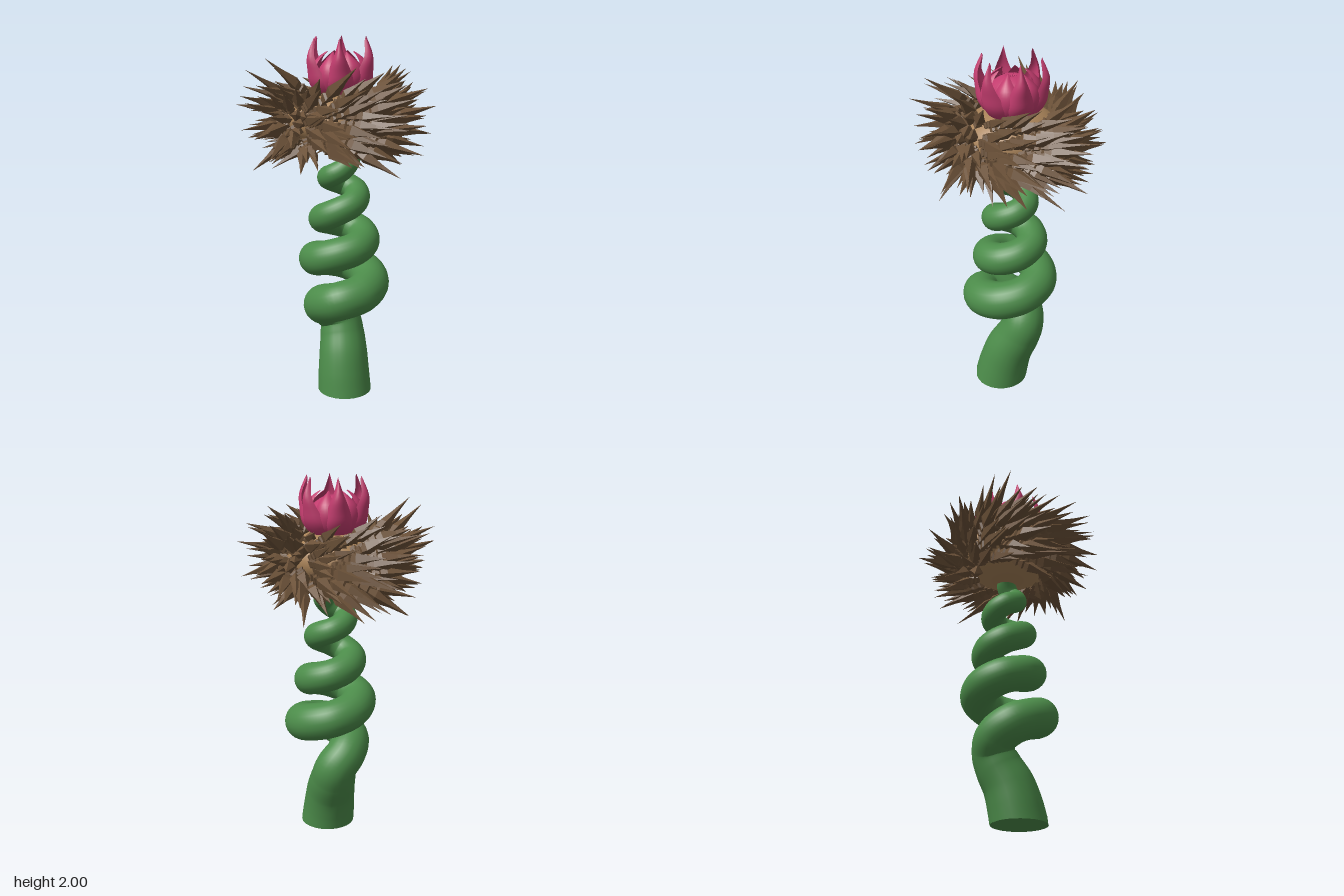
import * as THREE from 'three';
import { mergeGeometries } from 'three/addons/utils/BufferGeometryUtils.js';

const material = (color, extra = {}) => new THREE.MeshStandardMaterial({ color, ...extra });

function addMesh(parent, name, geometry, mat) {
  const mesh = new THREE.Mesh(geometry, mat);
  mesh.name = name;
  parent.add(mesh);
  return mesh;
}

function seeded(seed) {
  return () => {
    seed = (seed * 16807) % 2147483647;
    return seed / 2147483647;
  };
}

// Foot of the stem leaning back, and its end inside the head: x, y, z, tube radius
const FOOT = [
  [0.05, 0, 0.05, 0.152], [0.042, 0.1, 0.03, 0.147], [0.035, 0.2, 0, 0.139],
  [0.022, 0.3, -0.05, 0.128], [0.005, 0.38, -0.077, 0.117], [-0.05, 0.45, -0.05, 0.112],
  [-0.075, 0.51, 0.05, 0.11],
];
const NECK = [[0.045, 1.41, -0.02, 0.055], [0.01, 1.48, 0, 0.05]];

// Shrinking coil, one entry per quarter turn from the front: coil radius, y, tube radius
const COIL = [
  [0.16, 0.57, 0.108], [0.156, 0.63, 0.106], [0.168, 0.7, 0.102], [0.152, 0.765, 0.097],
  [0.117, 0.83, 0.093], [0.118, 0.88, 0.089], [0.127, 0.94, 0.085], [0.113, 1.0, 0.08],
  [0.082, 1.07, 0.076], [0.078, 1.125, 0.072], [0.092, 1.18, 0.068], [0.08, 1.235, 0.063],
  [0.043, 1.285, 0.06], [0.04, 1.345, 0.057],
];

function stemPath() {
  const coil = [];
  for (let q = 0; q <= COIL.length - 1; q += 0.5) {
    const a = COIL[Math.floor(q)], b = COIL[Math.ceil(q)];
    const [d, y, r] = a.map((value, i) => (value + b[i]) / 2);
    const turn = (q * Math.PI) / 2;
    coil.push([0.03 + d * Math.sin(turn), y, d * Math.cos(turn), r]);
  }
  return [...FOOT, ...coil, ...NECK];
}

function stemGeometry() {
  const path = stemPath();
  const curve = new THREE.CatmullRomCurve3(path.map(([x, y, z]) => new THREE.Vector3(x, y, z)));
  curve.arcLengthDivisions = 800;
  const rings = 280, sides = 24;
  const geometry = new THREE.TubeGeometry(curve, rings, 1, sides);
  const pos = geometry.attributes.position;
  const p = new THREE.Vector3();
  for (let i = 0; i <= rings; i++) {
    const u = i / rings;
    const centre = curve.getPointAt(u);
    const t = curve.getUtoTmapping(u) * (path.length - 1);
    const k = Math.min(Math.floor(t), path.length - 2);
    const radius = THREE.MathUtils.lerp(path[k][3], path[k + 1][3], t - k);
    for (let j = 0; j <= sides; j++) {
      const n = i * (sides + 1) + j;
      p.fromBufferAttribute(pos, n).sub(centre).multiplyScalar(radius).add(centre);
      pos.setXYZ(n, p.x, i === 0 ? 0 : Math.max(0, p.y), p.z);
    }
  }
  return geometry;
}

// Faceted thorns swirling around the flattened head
const HEAD = { y: 1.56, r: 0.27, h: 0.16 };

function thornGeometry() {
  const rand = seeded(71);
  const profile = [[0.5, 0], [0.85, 0.1], [0.5, 0.13], [0.95, 0.25], [0.6, 0.28], [1, 0.4], [0.42, 0.68], [0, 1]]
    .map(([x, y]) => new THREE.Vector2(x, y));
  const thorn = new THREE.LatheGeometry(profile, 4);
  const rows = 8, thorns = [];
  const dummy = new THREE.Object3D();
  const up = new THREE.Vector3(0, 1, 0), dir = new THREE.Vector3();
  for (let row = 0; row < rows; row++) {
    const rowLat = THREE.MathUtils.lerp(-0.8, 0.68, row / (rows - 1));
    const count = Math.round(28 * Math.cos(rowLat));
    for (let i = 0; i < count; i++) {
      const a = ((i + 0.5 * (row % 2) + 0.9 * (rand() - 0.5)) / count) * Math.PI * 2;
      const lat = rowLat + 0.16 * (rand() - 0.5);
      const r = HEAD.r * Math.cos(lat) * 0.98;
      const out = 0.1 + 0.42 * Math.cos(lat) + 0.35 * (rand() - 0.5);
      const swirl = 0.85;
      const rise = 0.7 * Math.sin(lat) + 0.07 + 0.45 * (rand() - 0.5);
      dir.set(out * Math.cos(a) - swirl * Math.sin(a), rise, -out * Math.sin(a) - swirl * Math.cos(a));
      dummy.position.set(r * Math.cos(a), HEAD.y + HEAD.h * Math.sin(lat), -r * Math.sin(a));
      dummy.quaternion.setFromUnitVectors(up, dir.normalize());
      const width = 0.027 + 0.013 * rand();
      dummy.scale.set(width, 0.22 + 0.16 * rand(), width);
      dummy.updateMatrix();
      thorns.push(thorn.clone().applyMatrix4(dummy.matrix));
    }
  }
  return mergeGeometries(thorns);
}

// A petal sweeps a side profile (radius, height) across an angle that narrows to the tip;
// fold draws its edges inward so that it is cupped
function petalGeometry({ profile, angle, start, power, skew, fold }) {
  const curve = new THREE.SplineCurve(profile.map(([r, y]) => new THREE.Vector2(r, y)));
  const geometry = new THREE.PlaneGeometry(2, 1, 10, 20);
  const pos = geometry.attributes.position;
  for (let i = 0; i < pos.count; i++) {
    const u = pos.getX(i), v = pos.getY(i) + 0.5;
    const p = curve.getPoint(v);
    const t = Math.max(0, (v - start) / (1 - start));
    const a = u * angle * Math.pow(1 - t, power);
    const cup = fold * u * u * Math.min(1, 3 * v) * Math.sqrt(1 - t);
    const r = Math.max(0, p.x * (1 + skew * u * (1 - t)) - cup);
    pos.setXYZ(i, r * Math.sin(a), p.y, r * Math.cos(a));
  }
  geometry.computeVertexNormals();
  return geometry;
}

const PETALS = [
  { name: 'outerPetal', count: 6, turn: 0.1, angle: 0.72, start: 0.35, power: 1.2, skew: 0.05, fold: 0.045,
    profile: [[0.02, 1.68], [0.12, 1.69], [0.175, 1.75], [0.19, 1.82], [0.195, 1.9], [0.155, 1.995]] },
  { name: 'middlePetal', count: 6, turn: 0.62, angle: 0.62, start: 0.45, power: 0.9, skew: 0.1, fold: 0.03,
    profile: [[0.02, 1.69], [0.12, 1.705], [0.16, 1.77], [0.155, 1.84], [0.115, 1.89], [0.07, 1.92]] },
  { name: 'budPetal', count: 5, turn: 0.3, angle: 0.8, start: 0.75, power: 0.4, skew: 0.1, fold: 0,
    profile: [[0.02, 1.7], [0.1, 1.72], [0.13, 1.78], [0.105, 1.85], [0.04, 1.89], [0.0, 1.88]] },
];

export function createModel() {
  const model = new THREE.Group();
  model.name = 'coiledThornFlower';

  // Coiled stem with a closed foot
  const green = material(0x4c8c4a);
  addMesh(model, 'stem', stemGeometry(), green);
  const foot = addMesh(model, 'stemFoot', new THREE.CircleGeometry(0.152, 24), green);
  foot.rotation.x = Math.PI / 2;
  foot.position.set(0.05, 0, 0.05);

  // Head and its thorns
  const head = addMesh(model, 'head', new THREE.SphereGeometry(HEAD.r, 32, 20), material(0xa88258));
  head.scale.y = HEAD.h / HEAD.r;
  head.position.y = HEAD.y;
  addMesh(model, 'thorns', thornGeometry(), material(0x6b5138, { flatShading: true }));

  // Flower: three rings of cupped petals
  const pink = material(0xc23c6e, { side: THREE.DoubleSide });
  const flower = new THREE.Group();
  flower.name = 'flower';
  flower.position.set(0.015, 0, -0.005);
  for (const ring of PETALS) {
    const geometry = petalGeometry(ring);
    for (let i = 0; i < ring.count; i++) {
      addMesh(flower, ring.name, geometry, pink).rotation.y = ring.turn + (i / ring.count) * Math.PI * 2;
    }
  }
  model.add(flower);
  return model;
}
